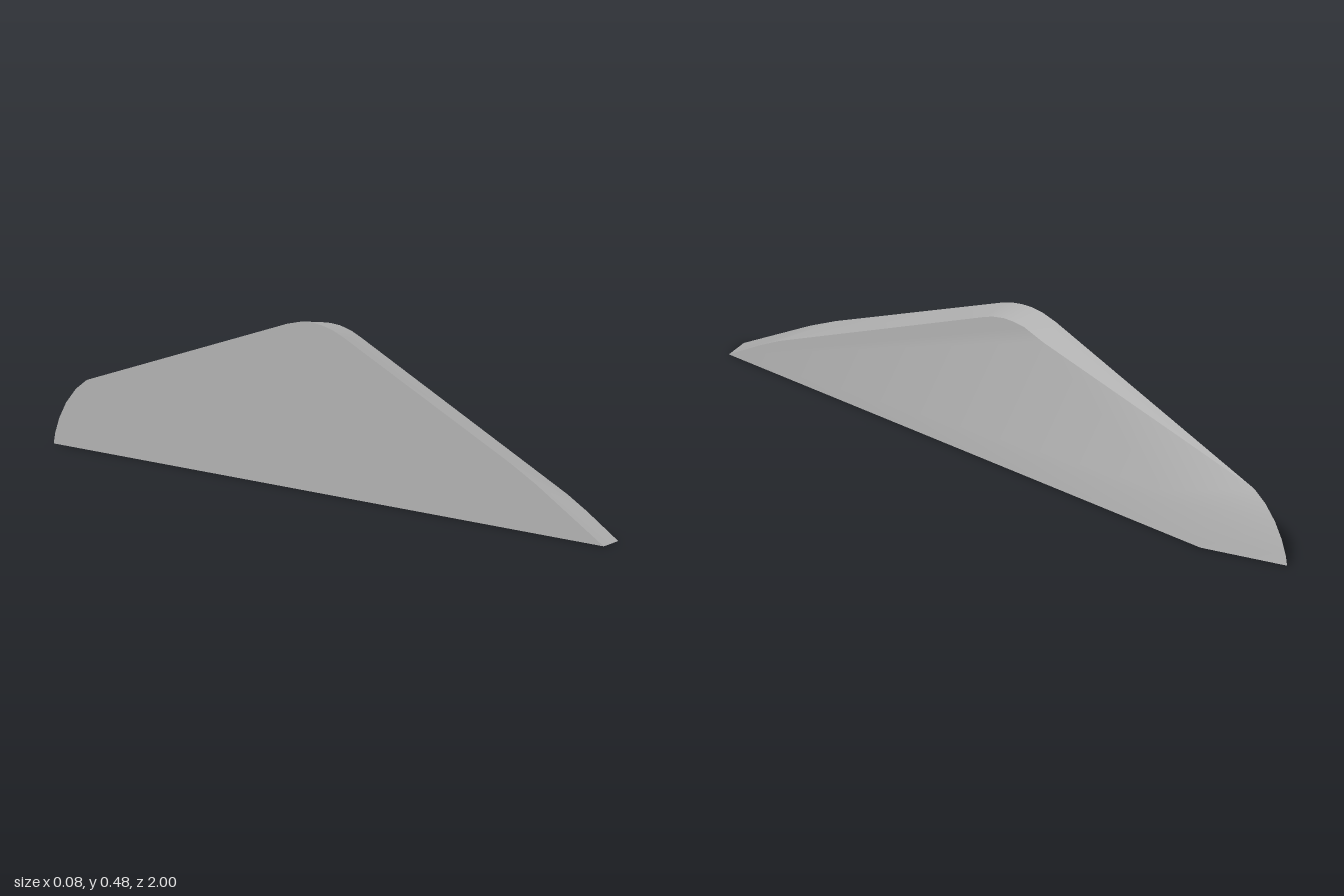
import * as THREE from 'three';
import { toCreasedNormals } from 'three/addons/utils/BufferGeometryUtils.js';

const HALF_WIDTH = 0.039;

// Matching [z, y] outlines of the two sides, front tip over the crest to the rear
const wideSide = [
  [1, 0], [0.755, 0.138], [0.66, 0.185], [0.05, 0.452], [0.015, 0.465], [-0.025, 0.473],
  [-0.06, 0.476], [-0.1, 0.473], [-0.15, 0.46], [-0.88, 0.196],
  [-0.92, 0.165], [-0.955, 0.122], [-0.98, 0.075], [-0.995, 0.03], [-1, 0],
];
const narrowSide = [
  [0.985, 0], [0.87, 0.068], [0.8, 0.105], [0.05, 0.437], [0.015, 0.451], [-0.025, 0.46],
  [-0.06, 0.462], [-0.1, 0.459], [-0.17, 0.436], [-0.62, 0.13],
  [-0.65, 0.105], [-0.68, 0.078], [-0.71, 0.048], [-0.735, 0.02], [-0.75, 0],
];

// Join both outlines with a strip and close each side with a fan
function loftGeometry(left, right) {
  const n = left.length;
  const positions = [];
  for (const [z, y] of left) positions.push(-HALF_WIDTH, y, z);
  for (const [z, y] of right) positions.push(HALF_WIDTH, y, z);
  const index = [];
  for (let i = 0; i < n; i++) {
    const j = (i + 1) % n;
    index.push(i, n + i, j, n + i, n + j, j);
    if (i > 0 && j > 0) index.push(0, i, j, n, n + j, n + i);
  }
  const geometry = new THREE.BufferGeometry();
  geometry.setAttribute('position', new THREE.Float32BufferAttribute(positions, 3));
  geometry.setIndex(index);
  return toCreasedNormals(geometry, 0.4);
}

export function createModel() {
  const group = new THREE.Group();
  group.name = 'wedgeFin';
  const grey = new THREE.MeshStandardMaterial({ color: 0xb4b4b4 });
  grey.name = 'plain grey';

  // Solid fin with a rounded crest and a bevelled rear
  const fin = new THREE.Mesh(loftGeometry(wideSide, narrowSide), grey);
  fin.name = 'finBody';
  group.add(fin);
  return group;
}
